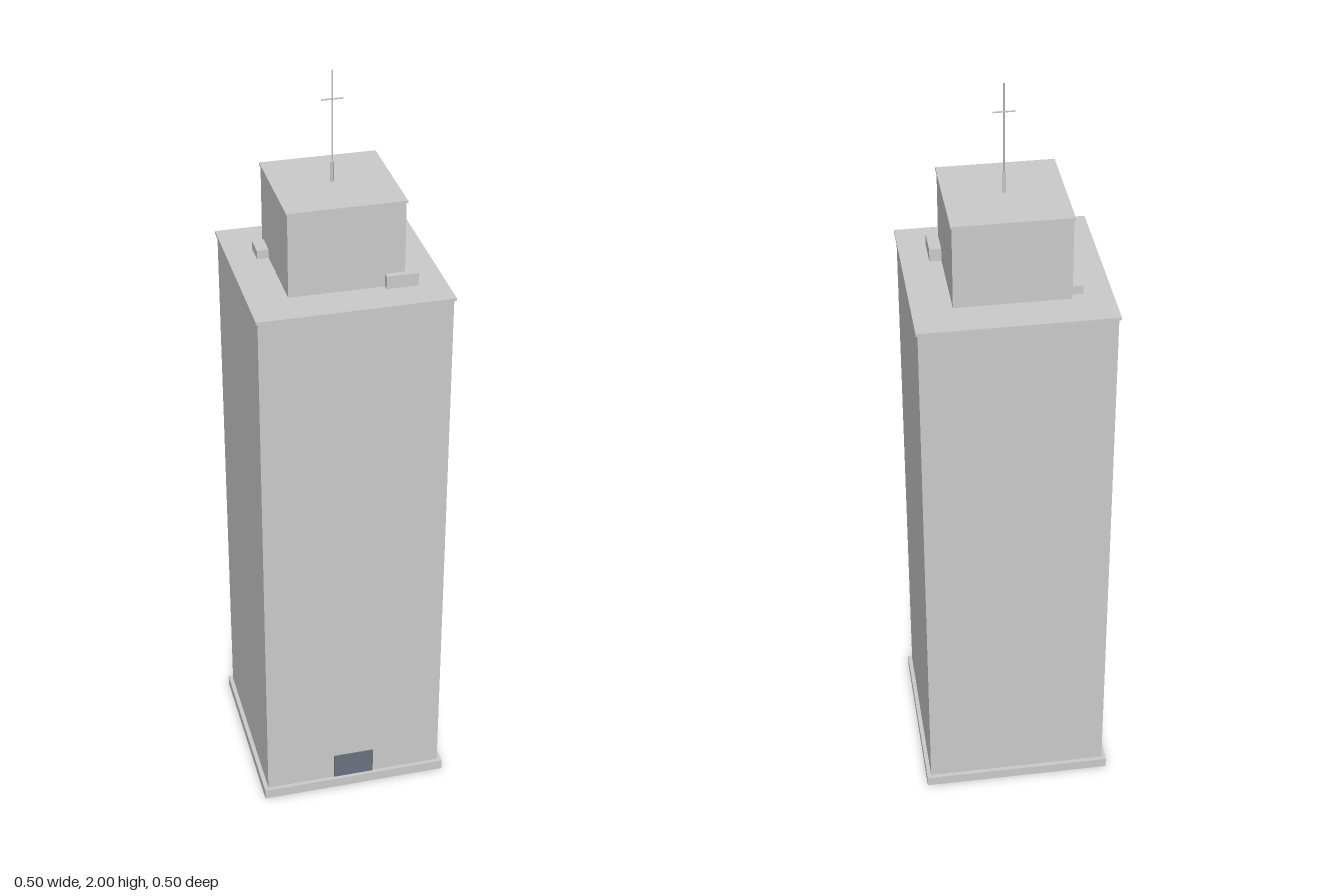
import * as THREE from 'three';

export function createModel() {
  const model = new THREE.Group();
  const grey = new THREE.MeshStandardMaterial({ color: 0xcccccc });
  const glass = new THREE.MeshStandardMaterial({ color: 0x6b7380 });

  // Box given by its extents on each axis
  function box(name, [x0, x1], [y0, y1], [z0, z1], material = grey) {
    const mesh = new THREE.Mesh(new THREE.BoxGeometry(x1 - x0, y1 - y0, z1 - z0), material);
    mesh.position.set((x0 + x1) / 2, (y0 + y1) / 2, (z0 + z1) / 2);
    mesh.name = name;
    model.add(mesh);
  }
  // Square block centred on the tower axis
  const block = (name, half, y0, y1) => box(name, [-half, half], [y0, y1], [-half, half]);
  // Upright rod on the tower axis
  function rod(name, radius, y0, y1) {
    const mesh = new THREE.Mesh(new THREE.CylinderGeometry(radius, radius, y1 - y0, 8), grey);
    mesh.position.y = (y0 + y1) / 2;
    mesh.name = name;
    model.add(mesh);
  }

  // Plinth, shaft and roof edge
  block('plinth', 0.252, 0, 0.028);
  block('towerShaft', 0.241, 0.028, 1.486);
  block('roofSlab', 0.246, 1.486, 1.493);

  // Penthouse with its cap
  block('penthouse', 0.145, 1.493, 1.71);
  block('penthouseCap', 0.148, 1.71, 1.716);

  // Entrance on the front
  box('entranceDoor', [-0.055, 0.055], [0.028, 0.103], [0.235, 0.243], glass);

  // Rooftop service units
  box('largeRoofUnit', [0.095, 0.175], [1.493, 1.527], [0.078, 0.161]);
  box('smallRoofUnit', [-0.175, -0.115], [1.493, 1.516], [-0.127, -0.068]);

  // Antenna
  rod('antennaBase', 0.004, 1.716, 1.768);
  rod('antennaMast', 0.002, 1.768, 2);
  box('antennaCrossbar', [-0.027, 0.027], [1.926, 1.929], [-0.0015, 0.0015]);

  return model;
}
